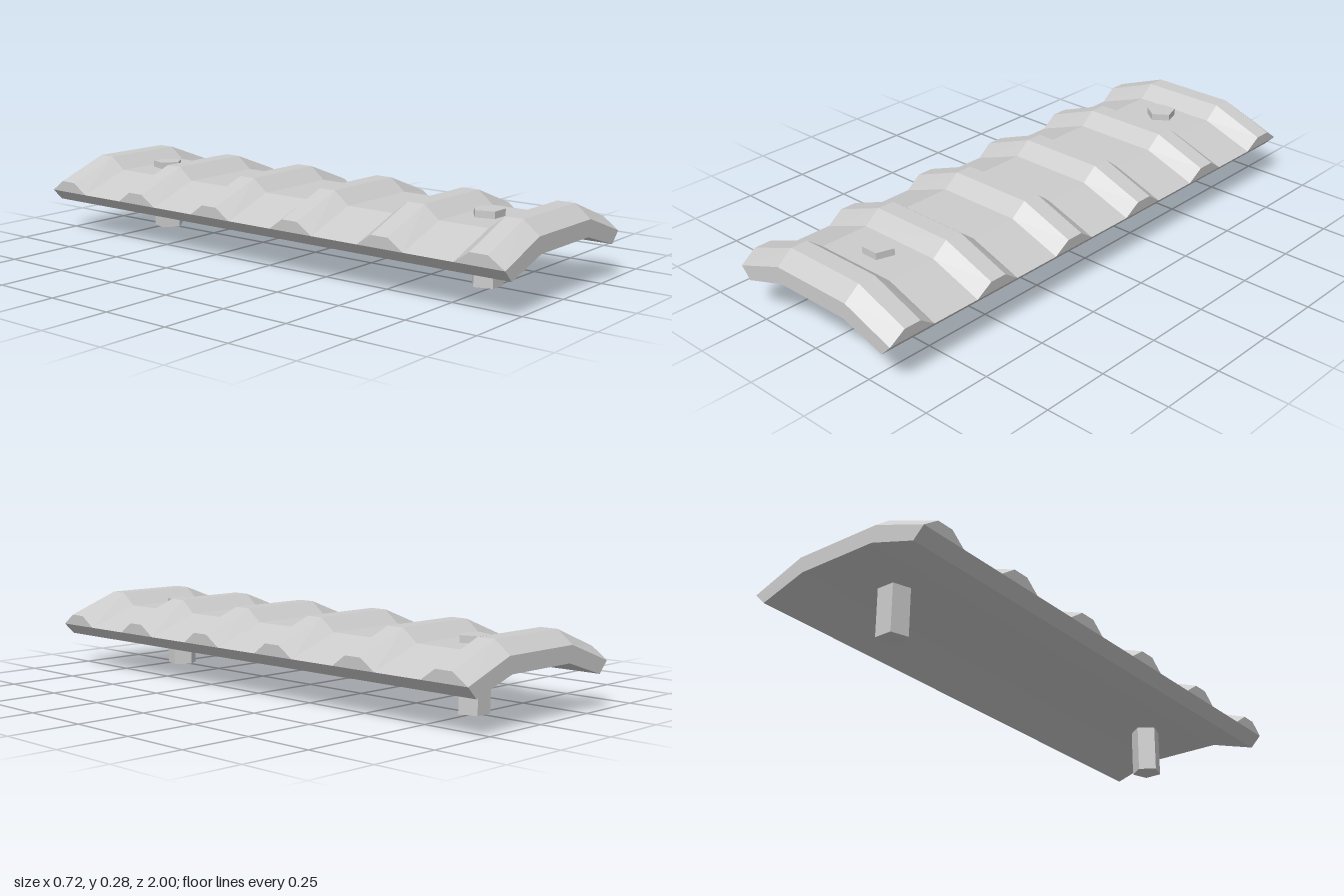
import * as THREE from 'three';

const grey = () => new THREE.MeshStandardMaterial({ color: 0xcccccc, flatShading: true });

// Arched plate: one bent cross-section extruded along z
function plateGeometry() {
  const section = [
    [-0.316, 0.12], [-0.147, 0.173], [0.147, 0.173], [0.316, 0.12],
    [0.355, 0.16], [0.16, 0.23], [-0.16, 0.23], [-0.355, 0.16],
  ];
  const shape = new THREE.Shape(section.map(([x, y]) => new THREE.Vector2(x, y)));
  return new THREE.ExtrudeGeometry(shape, { depth: 2, bevelEnabled: false }).translate(0, 0, -1);
}

// Bevelled rib: trapezoid loops (z, y) placed at each bend of the plate
function ribGeometry() {
  const stations = [
    { base: [-0.355, 0.16], top: [-0.358, 0.2] },
    { base: [-0.16, 0.23], top: [-0.16, 0.275] },
    { base: [0.16, 0.23], top: [0.16, 0.275] },
    { base: [0.355, 0.16], top: [0.358, 0.2] },
  ];
  const positions = [];
  for (const { base, top } of stations) {
    positions.push(...base, 0.09, ...top, 0.032, ...top, -0.032, ...base, -0.09);
  }
  const index = [];
  for (let s = 0; s < 3; s++) {
    for (let k = 0; k < 4; k++) {
      const a = s * 4 + k, b = s * 4 + (k + 1) % 4;
      index.push(a, a + 4, b + 4, a, b + 4, b);
    }
  }
  index.push(0, 1, 2, 0, 2, 3, 12, 14, 13, 12, 15, 14); // end caps
  const geometry = new THREE.BufferGeometry();
  geometry.setAttribute('position', new THREE.Float32BufferAttribute(positions, 3));
  geometry.setIndex(index);
  const flat = geometry.toNonIndexed();
  flat.computeVertexNormals();
  return flat;
}

export function createModel() {
  const model = new THREE.Group();
  model.name = 'ribbedPlate';
  const material = grey();
  const add = (name, geometry, x, y, z) => {
    const mesh = new THREE.Mesh(geometry, material);
    mesh.name = name;
    mesh.position.set(x, y, z);
    model.add(mesh);
    return mesh;
  };

  add('archedPlate', plateGeometry(), 0, 0, 0);

  // Six evenly spaced ribs
  const rib = ribGeometry();
  for (let i = 0; i < 6; i++) add(`rib${i + 1}`, rib, 0, 0, -0.91 + i * 0.364);

  // Five-sided pins through the plate, points facing the middle
  const pin = new THREE.CylinderGeometry(0.0555, 0.0555, 0.254, 5);
  add('backPin', pin, 0, 0.127, -0.738);
  add('frontPin', pin, 0, 0.127, 0.718).rotation.y = Math.PI;

  return model;
}
